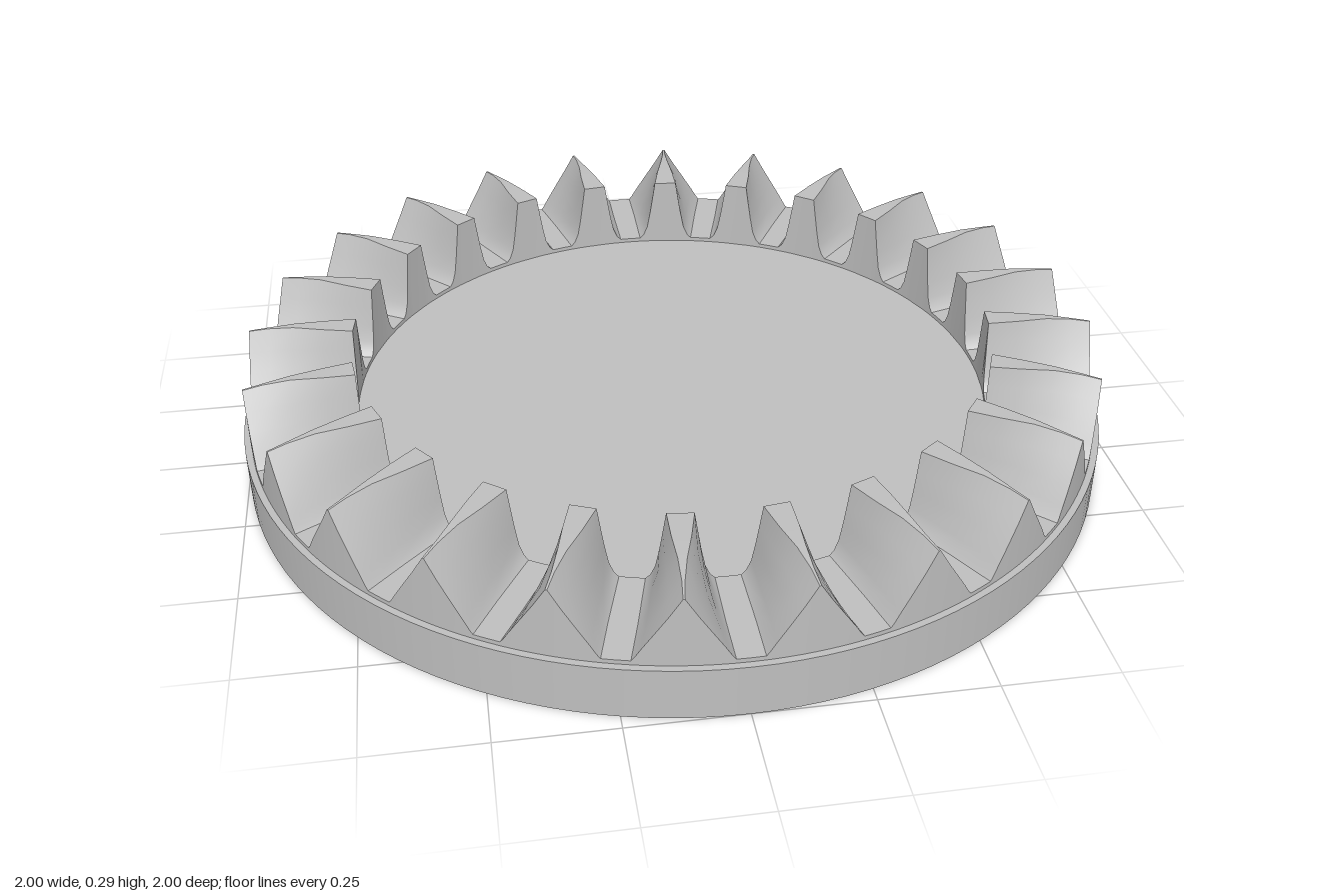
import * as THREE from 'three';
import { toCreasedNormals } from 'three/addons/utils/BufferGeometryUtils.js';

const TEETH = 24, PITCH = (Math.PI * 2) / TEETH;
const DISC_Y = 0.12, ROOT_Y = 0.13;

// Tooth sections from the inner to the outer end: radius, tip height,
// and half widths at each of the LEVELS (0 = root, 1 = tip).
const LEVELS = [0, 0.06, 0.2, 0.45, 0.72, 1];
const SECTIONS = [
  { r: 0.74, top: 0.295, half: [0.07, 0.06, 0.05, 0.042, 0.035, 0.028] },
  { r: 0.81, top: 0.295, half: [0.078, 0.069, 0.058, 0.046, 0.033, 0.02] },
  { r: 0.88, top: 0.295, half: [0.086, 0.078, 0.066, 0.048, 0.029, 0.009] },
  { r: 0.94, top: 0.289, half: [0.094, 0.087, 0.074, 0.052, 0.028, 0.003] },
  { r: 0.985, top: 0.282, half: [0.1, 0.093, 0.08, 0.055, 0.028, 0.002] },
];

// One section as [angle, height] points across a whole pitch
function profile({ r, top, half }) {
  const side = LEVELS.map((t, i) => [half[i] / r, ROOT_Y + (top - ROOT_Y) * t]);
  return [
    [-PITCH / 2, ROOT_Y],
    ...side.map(([a, y]) => [-a, y]),
    ...side.slice().reverse(),
    [PITCH / 2, ROOT_Y],
  ];
}

function toothGeometry() {
  const point = (r, a, y) => [r * Math.sin(a), y, r * Math.cos(a)];
  const rows = SECTIONS.map((s) => profile(s).map(([a, y]) => point(s.r, a, y)));
  const bases = SECTIONS.map((s) => profile(s).map(([a]) => point(s.r, a, DISC_Y)));
  const pos = [];
  const quad = (a, b, c, d) => pos.push(...a, ...b, ...c, ...a, ...c, ...d);
  const last = rows.length - 1;
  for (let i = 0; i < rows[0].length - 1; i++) {
    // flanks, tip and root
    for (let s = 0; s < last; s++) {
      quad(rows[s][i], rows[s + 1][i], rows[s + 1][i + 1], rows[s][i + 1]);
    }
    // outer and inner end faces
    quad(bases[last][i], bases[last][i + 1], rows[last][i + 1], rows[last][i]);
    quad(bases[0][i + 1], bases[0][i], rows[0][i], rows[0][i + 1]);
  }
  const geo = new THREE.BufferGeometry();
  geo.setAttribute('position', new THREE.Float32BufferAttribute(pos, 3));
  return toCreasedNormals(geo, 0.5);
}

export function createModel() {
  const model = new THREE.Group();
  model.name = 'crownGear';
  const steel = new THREE.MeshStandardMaterial({ color: 0xbfbfbf });
  steel.name = 'grey steel';

  // Base disc
  const disc = new THREE.Mesh(new THREE.CylinderGeometry(1, 1, DISC_Y, 128), steel);
  disc.name = 'baseDisc';
  disc.position.y = DISC_Y / 2;
  model.add(disc);

  // Ring of face teeth, with a gap facing the front
  const ring = new THREE.Group();
  ring.name = 'toothRing';
  const geo = toothGeometry();
  for (let i = 0; i < TEETH; i++) {
    const tooth = new THREE.Mesh(geo, steel);
    tooth.name = 'tooth';
    tooth.rotation.y = (i + 0.5) * PITCH;
    ring.add(tooth);
  }
  model.add(ring);
  return model;
}
